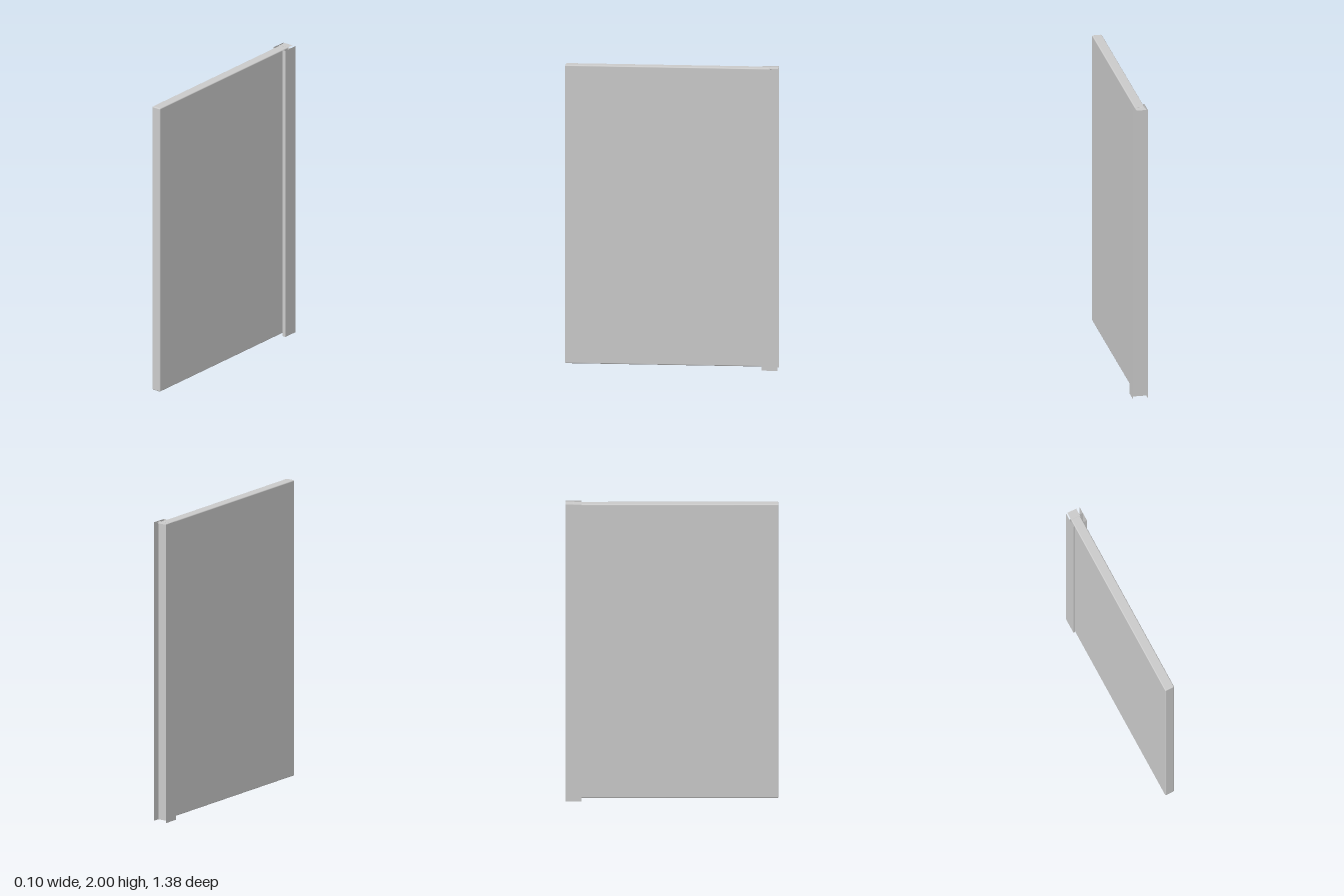
import * as THREE from 'three';
import { RoundedBoxGeometry } from 'three/addons/geometries/RoundedBoxGeometry.js';

export function createModel() {
  const group = new THREE.Group();
  const solid = new THREE.MeshStandardMaterial({ color: 0xcccccc });
  const sheet = new THREE.MeshStandardMaterial({ color: 0xcccccc, side: THREE.DoubleSide });

  const back = -0.69, lipZ = -0.585, webZ = -0.64;
  const panelMin = -0.04, panelMax = 0.025, panelMid = (panelMin + panelMax) / 2;
  const panelWidth = panelMax - panelMin;

  const add = (name, geometry, material, x, y, z) => {
    const mesh = new THREE.Mesh(geometry, material);
    mesh.name = name;
    mesh.position.set(x, y, z);
    group.add(mesh);
    return mesh;
  };

  // Slab with softened edges, its inner end seated in the channel
  const depth = 0.69 - webZ;
  add('panel', new RoundedBoxGeometry(panelWidth, 1.98, depth, 3, 0.007), solid,
    panelMid, 1.01, (0.69 + webZ) / 2);

  // Thin cap carrying the top edge across the channel
  add('topCap', new THREE.PlaneGeometry(panelWidth, 0.06).rotateX(-Math.PI / 2), sheet,
    panelMid, 1.999, back + 0.03);

  // Sheet channel, open at the back: two flanges, two lips and a web
  for (const side of [-1, 1]) {
    const name = side > 0 ? 'left' : 'right';
    const face = side > 0 ? panelMax : panelMin;
    add(name + 'Flange', new THREE.PlaneGeometry(lipZ - back, 2).rotateY(side * Math.PI / 2), sheet,
      side * 0.049, 1, (lipZ + back) / 2);
    add(name + 'Lip', new THREE.PlaneGeometry(Math.abs(side * 0.049 - face), 2), sheet,
      (side * 0.049 + face) / 2, 1, lipZ);
  }
  add('channelWeb', new THREE.PlaneGeometry(0.098, 2).rotateY(Math.PI), sheet, 0, 1, webZ - 0.002);

  return group;
}
